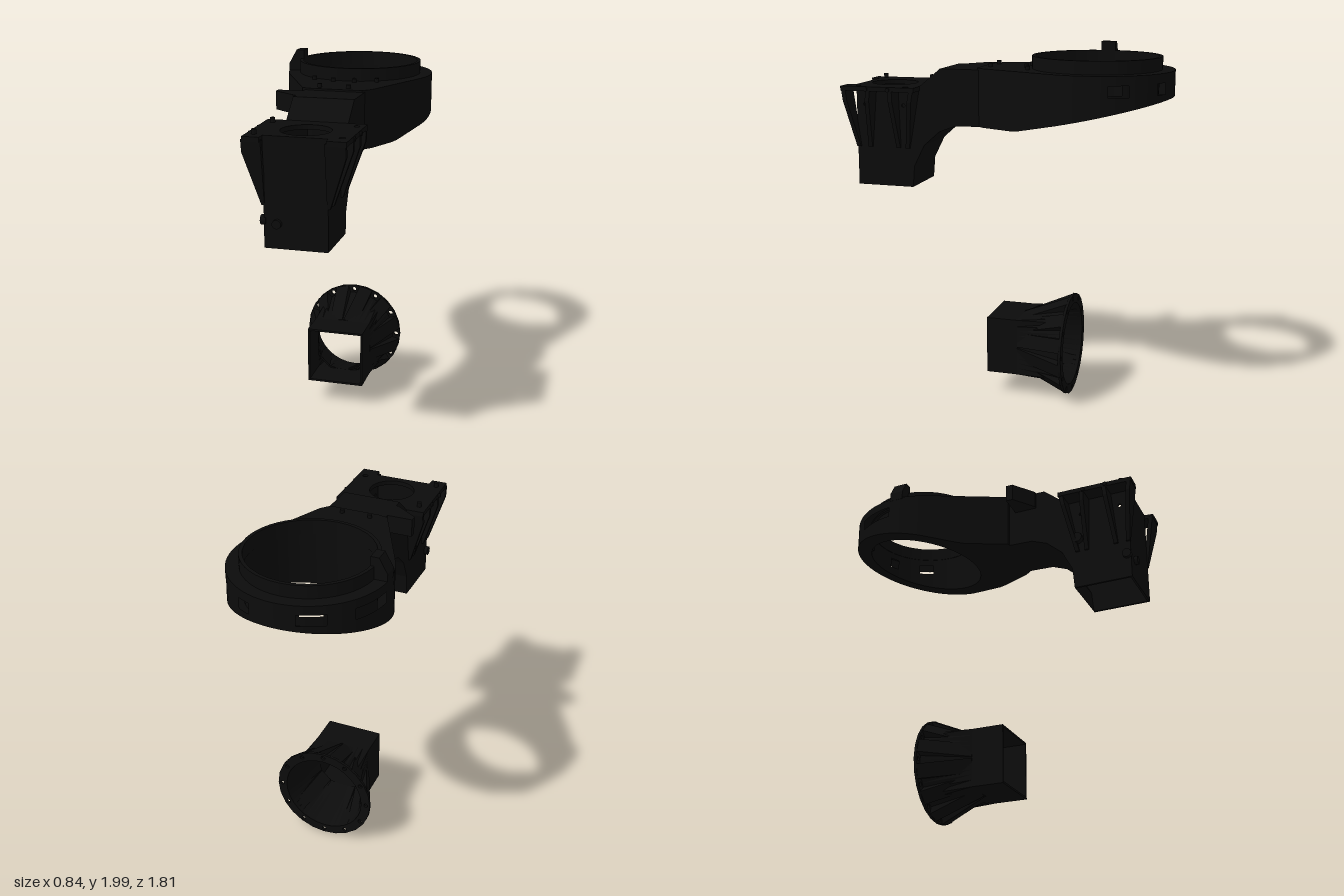
import * as THREE from 'three';

const black = new THREE.MeshStandardMaterial({ color: 0x0c0c0c, side: THREE.DoubleSide });
black.name = 'matte black';

const v = (x, y, z) => new THREE.Vector3(x, y, z);

function add(parent, name, geometry) {
  const mesh = new THREE.Mesh(geometry, black);
  mesh.name = name;
  parent.add(mesh);
  return mesh;
}

// Faceted sheet between two matching rows of points; skip(i) leaves a gap
function ribbon(a, b, skip = () => false) {
  const pts = [];
  for (let i = 0; i < a.length - 1; i++) {
    if (!skip(i)) pts.push(a[i], b[i], b[i + 1], a[i], b[i + 1], a[i + 1]);
  }
  const g = new THREE.BufferGeometry().setFromPoints(pts);
  g.computeVertexNormals();
  return g;
}

function makeShape(points, holes = []) {
  const s = new THREE.Shape(points.map(([a, b]) => new THREE.Vector2(a, b)));
  for (const [x, y, r] of holes) s.holes.push(new THREE.Path().absarc(x, y, r, 0, Math.PI * 2, true));
  return s;
}

const extrude = (shape, depth) =>
  new THREE.ExtrudeGeometry(shape, { depth, bevelEnabled: false, curveSegments: 16 });
// Plan outline in (x, z), hanging down from the given top
const plate = (shape, top, h) => extrude(shape, h).rotateX(Math.PI / 2).translate(0, top, 0);
// Side outline in (z, y), reaching from x towards -x
const sidePlate = (shape, x, w) => extrude(shape, w).rotateY(-Math.PI / 2).translate(x, 0, 0);

const circle = (r, n) => Array.from({ length: n }, (_, i) => {
  const t = (i / n) * Math.PI * 2;
  return [r * Math.cos(t), r * Math.sin(t)];
});

// Round housing that narrows into the arm, with a rising underside
function ringHousing() {
  const g = new THREE.Group();
  g.name = 'ringHousing';
  const CZ = -0.48, TOP = 1.88, INNER = 0.335, STEP = 5;
  const bottom = (z) => 1.56 + 0.18 * Math.max(0, (-0.1 - z) / 0.8);
  const reach = (deg, dx, dz) => {
    if (deg >= -25 && deg <= 205) return 0.42;
    const right = 0.45 * dx + 0.19 * dz, left = -0.45 * dx + 0.22 * dz;
    return Math.min(0.63 / dz, right > 0 ? 0.2052 / right : 9, left > 0 ? 0.2106 / left : 9);
  };
  const outer = [], mid = [], inner = [], degs = [];
  for (let deg = -90; deg <= 270; deg += STEP) {
    const t = THREE.MathUtils.degToRad(deg), dx = Math.cos(t), dz = -Math.sin(t);
    const d = reach(deg, dx, dz), m = dz > 0 ? Math.min(d, 0.38 / dz) : d;
    degs.push(deg);
    outer.push([dx * d, CZ + dz * d]);
    mid.push([dx * m, CZ + dz * m]);
    inner.push([dx * INNER, CZ + dz * INNER]);
  }
  const low = (loop) => loop.map(([x, z]) => v(x, bottom(z), z));
  const at = (loop, y) => loop.map(([x, z]) => v(x, Math.max(y, bottom(z)), z));
  const windows = [[20, 35], [60, 70], [105, 125], [145, 175]];
  const open = (i) => windows.some(([a, b]) => degs[i] >= a && degs[i] < b);
  for (const [name, loop] of [['outerWall', outer], ['innerWall', inner]]) {
    add(g, name + 'Lower', ribbon(low(loop), at(loop, 1.77)));
    add(g, name + 'WindowBand', ribbon(at(loop, 1.77), at(loop, 1.83), open));
    add(g, name + 'Upper', ribbon(at(loop, 1.83), at(loop, TOP)));
  }
  add(g, 'housingTop', ribbon(at(inner, TOP), at(outer, TOP)));
  add(g, 'housingUndersideInner', ribbon(low(inner), low(mid)));
  add(g, 'housingUndersideOuter', ribbon(low(mid), low(outer)));

  // Raised collar around the opening
  const collar = makeShape(circle(0.352, 48).map(([x, z]) => [x, z + CZ]), [[0, CZ, 0.333]]);
  add(g, 'collar', plate(collar, 1.95, 0.08));
  // Upright locating tab
  const tab = makeShape([[-0.42, 1.87], [-0.33, 1.87], [-0.33, 2], [-0.375, 2], [-0.42, 1.92]]);
  add(g, 'locatingTab', extrude(tab, 0.08).translate(0, 0, -0.51));
  // Fasteners on the top
  for (const [x, z] of [[-0.08, 0.1], [0.08, 0.1], [-0.18, -0.14], [0.18, -0.14], [-0.06, -0.1], [0.06, -0.1]]) {
    add(g, 'topBolt', new THREE.CylinderGeometry(0.013, 0.013, 0.03, 8).translate(x, 1.885, z));
  }
  return g;
}

// Hollow curved arm turning down into a square column
function arm() {
  const g = new THREE.Group();
  g.name = 'arm';
  const L = -0.15, R = 0.18;
  const under = [[0.53, 1.2], [0.52, 1.32], [0.46, 1.44], [0.37, 1.52], [0.28, 1.555], [0.13, 1.56]];
  const over = [[0.13, 1.87], [0.36, 1.87], [0.48, 1.77]];
  const side = makeShape([...under, ...over, [0.86, 1.77], [0.86, 1.2]],
    [[0.81, 1.66, 0.01], [0.58, 1.66, 0.01]]);
  for (const x of [L + 0.012, R]) add(g, 'armSide', sidePlate(side, x, 0.012));
  const across = (pts) => ribbon(pts.map(([z, y]) => v(L, y, z)), pts.map(([z, y]) => v(R, y, z)));
  add(g, 'armUnderside', across(under));
  add(g, 'armRoof', across(over));
  add(g, 'columnFront', new THREE.BoxGeometry(R - L, 0.57, 0.012).translate(0.015, 1.485, 0.854));

  // Mounting deck with round inlet and bolt holes
  const deck = makeShape([[-0.25, 0.48], [0.28, 0.48], [0.285, 0.91], [0.185, 0.91], [0.18, 0.86],
    [-0.15, 0.86], [-0.15, 0.91], [-0.24, 0.91]],
  [[0.02, 0.69, 0.13], [0.24, 0.54, 0.016], [0.24, 0.82, 0.016]]);
  add(g, 'mountingDeck', plate(deck, 1.77, 0.025));

  // Tapered gussets under the deck wings
  for (const s of [1, -1]) {
    for (const [zTop, zLow] of [[0.897, 0.85], [0.75, 0.78], [0.62, 0.61], [0.495, 0.555]]) {
      const a = s > 0 ? R - 0.005 : L + 0.005, b = s > 0 ? 0.28 : -0.245;
      const geo = extrude(makeShape([[a, 1.42], [a + s * 0.015, 1.42], [b, 1.69], [b, 1.755], [a, 1.755]]), 0.024);
      const p = geo.attributes.position;
      for (let i = 0; i < p.count; i++) {
        const t = (p.getY(i) - 1.42) / 0.335;
        p.setZ(i, p.getZ(i) - 0.012 + THREE.MathUtils.lerp(zLow, zTop, t));
      }
      geo.computeVertexNormals();
      add(g, 'wingGusset', geo);
    }
    for (const z of [0.63, 0.76]) {
      const x = s > 0 ? 0.28 : -0.245;
      add(g, 'wingBolt', new THREE.CylinderGeometry(0.012, 0.012, 0.02, 8).rotateZ(Math.PI / 2).translate(x, 1.755, z));
    }
  }
  for (const z of [0.55, 0.84]) {
    add(g, 'deckStud', new THREE.CylinderGeometry(0.014, 0.014, 0.03, 8).translate(-0.2, 1.78, z));
  }
  // Knobs low on the column
  add(g, 'sideKnob', new THREE.CylinderGeometry(0.026, 0.026, 0.03, 10).rotateZ(Math.PI / 2).translate(-0.155, 1.34, 0.84));
  add(g, 'frontKnob', new THREE.CylinderGeometry(0.024, 0.024, 0.025, 10).rotateX(Math.PI / 2).translate(-0.08, 1.33, 0.868));
  add(g, 'upperKnob', new THREE.CylinderGeometry(0.03, 0.03, 0.04, 10).rotateZ(Math.PI / 2).translate(-0.16, 1.5, 0.56));
  // Triangular side fin
  add(g, 'sideFin', plate(makeShape([[-0.29, 0.18], [-0.14, 0.18], [-0.14, 0.31], [-0.165, 0.31], [-0.29, 0.22]]), 1.87, 0.1));
  return g;
}

// Separate square-to-round adapter with bolted flange
function adapter() {
  const g = new THREE.Group();
  g.name = 'adapter';
  const N = 48;
  const loop = (z, size, round) => Array.from({ length: N + 1 }, (_, i) => {
    const t = (i / N) * Math.PI * 2, c = Math.cos(t), s = Math.sin(t);
    const r = round ? size : size / Math.max(Math.abs(c), Math.abs(s));
    return v(r * c, r * s, z);
  });
  for (const [name, h, r] of [['outer', 0.163, 0.247], ['inner', 0.152, 0.236]]) {
    add(g, name + 'SquareDuct', ribbon(loop(0.1, h), loop(-0.08, h)));
    add(g, name + 'Funnel', ribbon(loop(-0.08, h), loop(-0.36, r, true)));
  }
  add(g, 'ductLip', ribbon(loop(0.1, 0.152), loop(0.1, 0.163)));

  // Flange with twelve bolt holes, and a wedge between each pair
  const holes = circle(0.265, 12).map(([x, y]) => [x, y, 0.012]);
  const flange = makeShape(circle(0.29, 24), [[0, 0, 0.236], ...holes]);
  add(g, 'flange', extrude(flange, 0.015).translate(0, 0, -0.365));
  const wedge = makeShape([[-0.08, 0.165], [-0.355, 0.287], [-0.355, 0.24], [-0.08, 0.155]]);
  for (let i = 0; i < 12; i++) {
    add(g, 'flangeWedge', sidePlate(wedge, 0.04, 0.08)).rotation.z = ((i + 0.5) * Math.PI) / 6;
  }
  g.position.set(0.003, 0.298, 0);
  return g;
}

export function createModel() {
  const model = new THREE.Group();
  model.name = 'ductAssembly';
  model.add(ringHousing(), arm(), adapter());
  return model;
}
